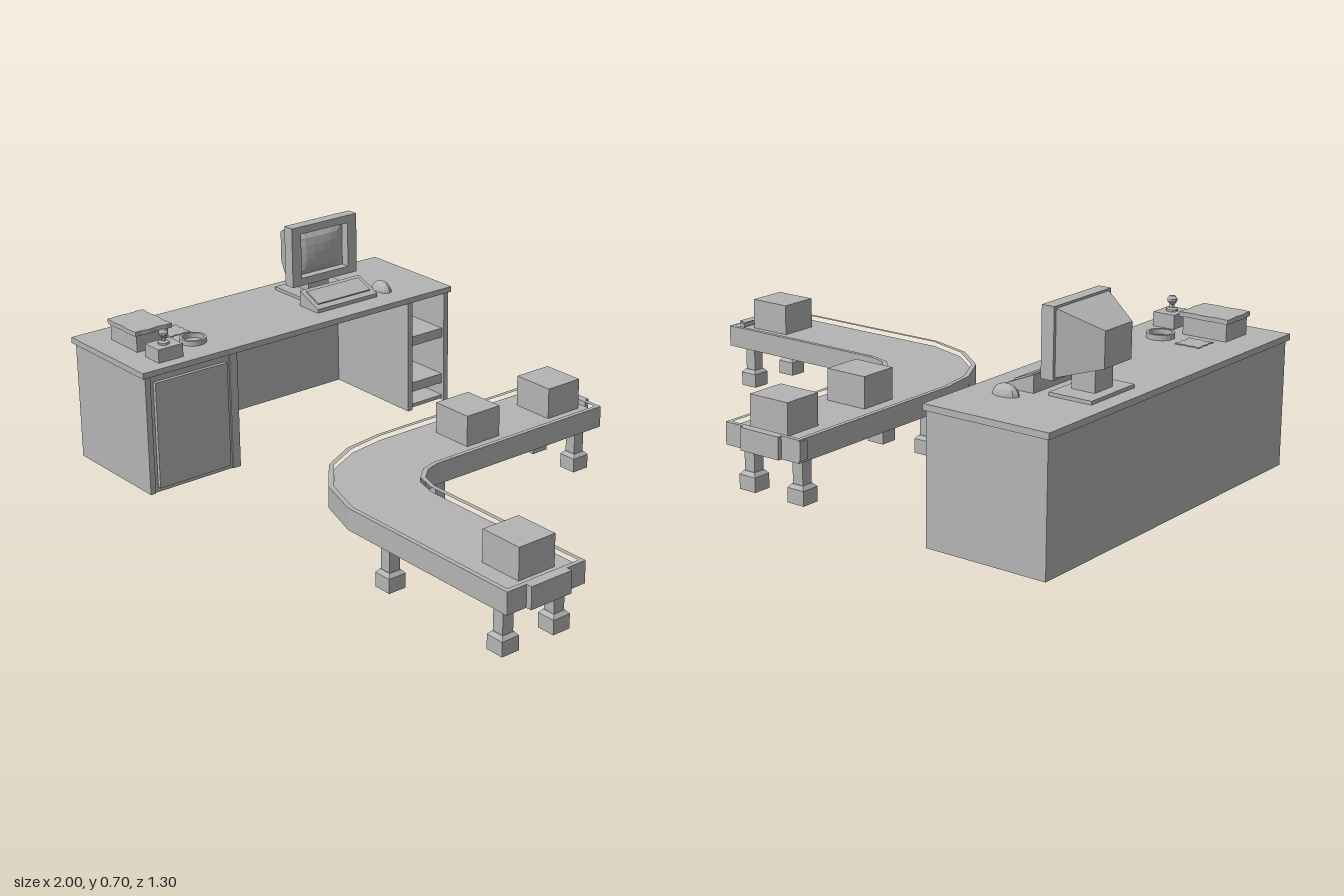
import * as THREE from 'three';

export function createModel() {
  const root = new THREE.Group();
  const grey = new THREE.MeshStandardMaterial({ color: 0xb4b4b4 });
  grey.name = 'plain grey';
  grey.flatShading = true;

  const group = (name, parent = root) => {
    const g = new THREE.Group();
    g.name = name;
    parent.add(g);
    return g;
  };
  const add = (parent, name, geometry) => {
    const mesh = new THREE.Mesh(geometry, grey);
    mesh.name = name;
    parent.add(mesh);
    return mesh;
  };
  // box given by its limits on each axis
  const box = (parent, name, x0, x1, y0, y1, z0, z1) => {
    const g = new THREE.BoxGeometry(x1 - x0, y1 - y0, z1 - z0);
    g.translate((x0 + x1) / 2, (y0 + y1) / 2, (z0 + z1) / 2);
    return add(parent, name, g);
  };
  const polygon = (pts) => pts.map(([x, y]) => new THREE.Vector2(x, y));
  // floor-plan outline (x, z) extruded between two heights
  const slab = (parent, name, pts, y0, y1, hole) => {
    const s = new THREE.Shape(polygon(pts));
    if (hole) s.holes.push(new THREE.Path(polygon(hole)));
    const g = new THREE.ExtrudeGeometry(s, { depth: y1 - y0, bevelEnabled: false });
    g.rotateX(Math.PI / 2).translate(0, y1, 0);
    return add(parent, name, g);
  };

  // ---- Desk ----
  const desk = group('desk');
  box(desk, 'deskTop', -1, -0.57, 0.41, 0.43, -0.65, 0.65);
  box(desk, 'backPanel', -0.99, -0.975, 0, 0.41, -0.64, 0.64);
  for (const [z0, z1] of [[0.62, 0.64], [0.28, 0.31], [-0.475, -0.454], [-0.64, -0.62]])
    box(desk, 'sidePanel', -0.975, -0.575, 0, 0.41, z0, z1);
  // closed cupboard
  box(desk, 'cupboardFront', -0.6, -0.58, 0, 0.41, 0.31, 0.62);
  box(desk, 'cupboardFloor', -0.975, -0.6, 0.012, 0.024, 0.31, 0.62);
  box(desk, 'cupboardDoor', -0.58, -0.567, 0.017, 0.387, 0.325, 0.607);
  // open shelves
  for (const [y0, y1] of [[0.005, 0.018], [0.065, 0.1], [0.24, 0.275]])
    box(desk, 'shelf', -0.975, -0.585, y0, y1, -0.62, -0.475);

  // ---- Monitor, facing +x ----
  const monitor = group('monitor');
  const cz = -0.257, cy = 0.592;
  const rect = (w, h) => polygon([[-w, -h], [w, -h], [w, h], [-w, h]]);
  const bezel = new THREE.Shape(rect(0.141, 0.107));
  bezel.holes.push(new THREE.Path(rect(0.102, 0.08)));
  const bezelGeo = new THREE.ExtrudeGeometry(bezel, { depth: 0.042, bevelEnabled: false });
  bezelGeo.rotateY(Math.PI / 2).translate(-0.833, cy, cz);
  add(monitor, 'bezel', bezelGeo);

  // bulging glass
  const glass = new THREE.PlaneGeometry(0.204, 0.16, 6, 6);
  const gp = glass.attributes.position;
  for (let i = 0; i < gp.count; i++) {
    const u = gp.getX(i) / 0.102, v = gp.getY(i) / 0.08;
    gp.setZ(i, 0.022 * (1 - u * u) ** 0.5 * (1 - v * v) ** 0.5);
  }
  glass.rotateY(Math.PI / 2).translate(-0.823, cy, cz);
  glass.computeVertexNormals();
  add(monitor, 'screen', glass);

  // tapered housing
  const housing = new THREE.BoxGeometry(0.122, 0.2, 0.262);
  const hp = housing.attributes.position;
  for (let i = 0; i < hp.count; i++) {
    if (hp.getX(i) < 0) {
      hp.setY(i, hp.getY(i) * 0.55 - 0.012);
      hp.setZ(i, hp.getZ(i) * 0.52);
    }
  }
  housing.translate(-0.894, cy, cz);
  housing.computeVertexNormals();
  add(monitor, 'housing', housing);
  box(monitor, 'neck', -0.91, -0.83, 0.44, 0.53, cz - 0.045, cz + 0.045);
  box(monitor, 'base', -0.945, -0.8, 0.43, 0.441, -0.37, -0.152);

  // ---- Keyboard, a wedge with a raised key field ----
  const keyboard = group('keyboard');
  const wedge = new THREE.Shape(polygon([
    [-0.755, 0.43], [-0.655, 0.43], [-0.655, 0.443], [-0.755, 0.485]]));
  const wedgeGeo = new THREE.ExtrudeGeometry(wedge, { depth: 0.262, bevelEnabled: false });
  wedgeGeo.translate(0, 0, -0.38);
  add(keyboard, 'keyboardBody', wedgeGeo);
  const keys = add(keyboard, 'keyField', new THREE.BoxGeometry(0.07, 0.008, 0.228));
  keys.position.set(-0.707, 0.466, -0.249);
  keys.rotation.z = -0.4;

  // ---- Mouse ----
  const mouseGeo = new THREE.SphereGeometry(1, 10, 5, 0, Math.PI * 2, 0, Math.PI / 2);
  mouseGeo.scale(0.045, 0.034, 0.027).translate(-0.7, 0.43, -0.437);
  add(root, 'mouse', mouseGeo);

  // ---- Small items on the desk ----
  const items = group('deskItems');
  box(items, 'paperBox', -0.895, -0.74, 0.43, 0.49, 0.437, 0.56);
  const wavy = [];
  for (let i = 0; i < 32; i++) {
    const a = (i / 32) * Math.PI * 2, c = Math.cos(a), s = Math.sin(a);
    const r = (1 + 0.03 * Math.sin(a * 7)) / Math.max(Math.abs(c), Math.abs(s));
    wavy.push([-0.818 + 0.085 * c * r, 0.498 + 0.07 * s * r]);
  }
  slab(items, 'paperStack', wavy, 0.488, 0.503);

  // small sheet with notched edges
  const sheet = [], corners = [[-0.87, 0.32], [-0.785, 0.32], [-0.785, 0.405], [-0.87, 0.405]];
  corners.forEach(([x, z], i) => {
    const [x2, z2] = corners[(i + 1) % 4];
    const dx = (x2 - x) / 10, dz = (z2 - z) / 10;
    for (let k = 0; k < 10; k++) {
      const inset = k % 4 > 1 ? 0.05 : 0;
      sheet.push([x + dx * k - dz * inset * 10, z + dz * k + dx * inset * 10]);
    }
  });
  slab(items, 'notchedSheet', sheet, 0.43, 0.433);

  // tape roll
  const roll = new THREE.LatheGeometry(polygon([
    [0.036, 0.43], [0.045, 0.43], [0.045, 0.447], [0.036, 0.447], [0.036, 0.43]]), 20);
  roll.translate(-0.706, 0, 0.363);
  add(items, 'tapeRoll', roll);

  // hand stamp
  box(items, 'stampPad', -0.69, -0.613, 0.43, 0.476, 0.465, 0.56);
  const handle = new THREE.LatheGeometry(polygon([
    [0.019, 0.476], [0.019, 0.483], [0.008, 0.487], [0.008, 0.498],
    [0.016, 0.508], [0.016, 0.516], [0.009, 0.525], [0, 0.525]]), 10);
  handle.translate(-0.652, 0, 0.513);
  add(items, 'stampHandle', handle);

  // ---- Curved conveyor ----
  const conveyor = group('conveyor');
  const outer = [[-0.092, -0.635], [-0.092, 0.08], [-0.07, 0.22], [-0.005, 0.345], [0.12, 0.445],
    [0.28, 0.495], [0.98, 0.495], [0.98, 0.195], [0.325, 0.195], [0.26, 0.175],
    [0.22, 0.13], [0.205, 0.08], [0.205, -0.635]];
  const inner = [[-0.077, -0.62], [-0.077, 0.08], [-0.055, 0.213], [0.006, 0.333], [0.126, 0.43],
    [0.282, 0.48], [0.965, 0.48], [0.965, 0.21], [0.325, 0.21], [0.25, 0.188],
    [0.207, 0.14], [0.19, 0.08], [0.19, -0.62]];
  slab(conveyor, 'rim', outer, 0.147, 0.22, inner);
  slab(conveyor, 'belt', inner, 0.147, 0.205);
  box(conveyor, 'endBlock', -0.022, 0.132, 0.147, 0.22, -0.65, -0.635);
  box(conveyor, 'endBlock', 0.98, 1, 0.147, 0.22, 0.268, 0.422);
  box(conveyor, 'cornerStrip', -0.096, -0.092, 0.155, 0.215, -0.635, -0.6);

  // legs in pairs across the track
  for (const [x, z] of [[-0.045, -0.57], [0.152, -0.57], [-0.045, 0.04], [0.152, 0.04],
    [0.425, 0.255], [0.425, 0.452], [0.92, 0.255], [0.92, 0.452]]) {
    const leg = group('leg', conveyor);
    box(leg, 'post', -0.02, 0.02, 0.05, 0.147, -0.02, 0.02);
    box(leg, 'foot', -0.032, 0.032, 0, 0.048, -0.032, 0.032);
    const collar = new THREE.CylinderGeometry(0.022 * Math.SQRT2, 0.032 * Math.SQRT2, 0.012, 4);
    collar.rotateY(Math.PI / 4).translate(0, 0.054, 0);
    add(leg, 'collar', collar);
    leg.position.set(x, 0, z);
  }

  // ---- Parcels ----
  for (const [x, z] of [[0.067, -0.523], [0.067, -0.167], [0.855, 0.338]])
    box(root, 'parcel', x - 0.076, x + 0.076, 0.205, 0.31, z - 0.069, z + 0.069);

  return root;
}
